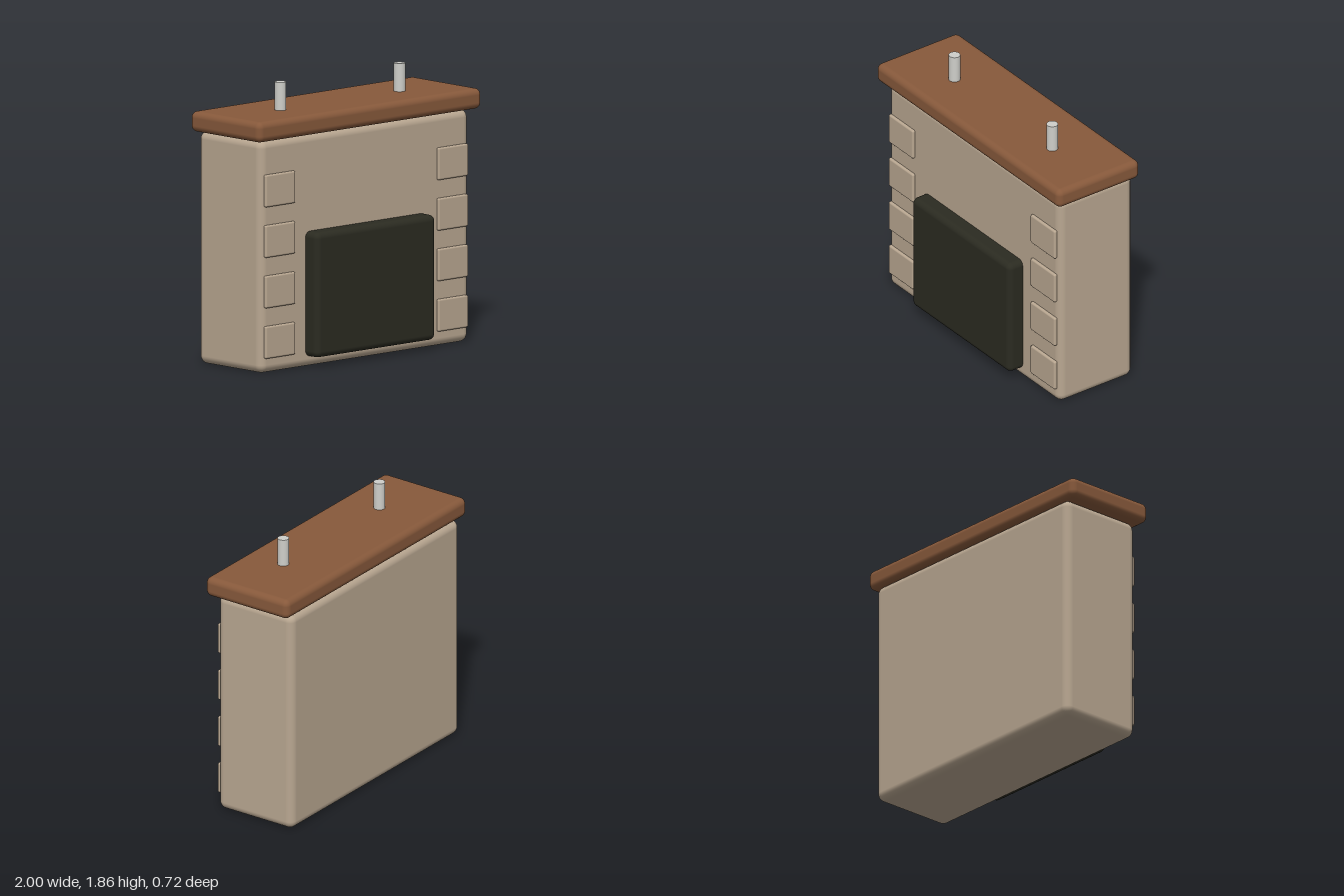
import * as THREE from 'three';
import { RoundedBoxGeometry } from 'three/addons/geometries/RoundedBoxGeometry.js';

const material = (name, color) => {
  const m = new THREE.MeshStandardMaterial({ color });
  m.name = name;
  return m;
};

export function createModel() {
  const stone = material('stone', 0xb9a791);
  const wood = material('wood', 0x87593b);
  const soot = material('soot', 0x2b2b21);
  const wax = material('wax', 0xcfcfca);

  const group = new THREE.Group();
  group.name = 'fireplace';

  // Rounded block given by its limits on each axis
  const block = (name, mat, [x0, x1], [y0, y1], [z0, z1], radius, segments = 4) => {
    const geo = new RoundedBoxGeometry(x1 - x0, y1 - y0, z1 - z0, segments, radius);
    const mesh = new THREE.Mesh(geo, mat);
    mesh.name = name;
    mesh.position.set((x0 + x1) / 2, (y0 + y1) / 2, (z0 + z1) / 2);
    group.add(mesh);
  };

  // Chimney breast, mantel shelf and firebox
  block('chimneyBreast', stone, [-0.935, 0.935], [0, 1.535], [-0.35, 0.25], 0.053);
  block('mantel', wood, [-1, 1], [1.535, 1.67], [-0.36, 0.305], 0.042);
  block('firebox', soot, [-0.535, 0.535], [0.07, 0.895], [0.14, 0.36], 0.04);

  for (const side of [-1, 1]) {
    const name = side > 0 ? 'left' : 'right';

    // Column of raised stones beside the opening
    for (let i = 0; i < 4; i++) {
      const y = 0.205 + i * 0.3333;
      const x = side * 0.773;
      block(`${name}Stone${i + 1}`, stone, [x - 0.134, x + 0.134], [y - 0.107, y + 0.107], [0.242, 0.27], 0.013, 3);
    }

    // Candle on the mantel
    const candle = new THREE.Mesh(new THREE.CylinderGeometry(0.038, 0.038, 0.187, 24), wax);
    candle.name = `${name}Candle`;
    candle.position.set(side * 0.533, 1.7625, 0.01);
    group.add(candle);
  }

  return group;
}
